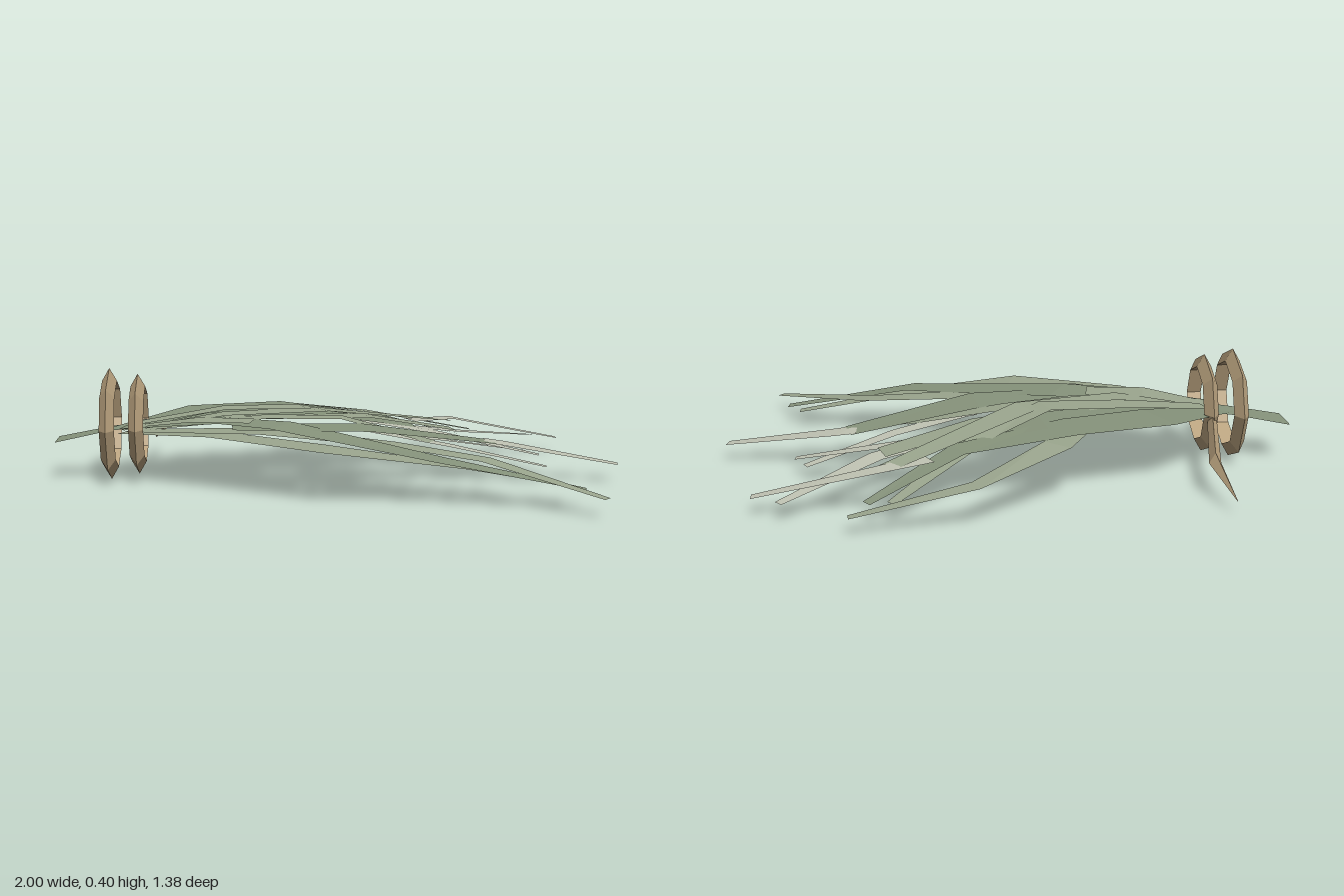
import * as THREE from 'three';

const mat = (color) => new THREE.MeshStandardMaterial({ color, flatShading: true, side: THREE.DoubleSide });
const DARK = mat(0x88957d), LIGHT = mat(0x9ca78f), PALE = mat(0xc2c5b5), TIE = mat(0xbaa37f);

function add(group, name, geometry, material) {
  const mesh = new THREE.Mesh(geometry, material);
  mesh.name = name;
  group.add(mesh);
  return mesh;
}

// Joins equal-sized rows of points into a skin; closed wraps each row round.
function skin(rows, closed) {
  const n = rows[0].length, index = [];
  for (let i = 0; i < rows.length - 1; i++) {
    for (let j = 0; j < (closed ? n : n - 1); j++) {
      const a = i * n + j, b = i * n + (j + 1) % n;
      index.push(a, b, a + n, b, b + n, a + n);
    }
  }
  const g = new THREE.BufferGeometry();
  g.setAttribute('position', new THREE.Float32BufferAttribute(rows.flat(2), 3));
  g.setIndex(index);
  g.computeVertexNormals();
  return g;
}

// Flat ribbon along [x, y, z, width] points, level across its width.
function ribbon(points) {
  const rows = points.map(([x, y, z, w], i) => {
    const a = points[Math.max(i - 1, 0)], b = points[Math.min(i + 1, points.length - 1)];
    const dx = b[0] - a[0], dz = b[2] - a[2], s = w / 2 / Math.hypot(dx, dz);
    return [[x + dz * s, y, z - dx * s], [x - dz * s, y, z + dx * s]];
  });
  return skin(rows, false);
}

export function createModel() {
  const model = new THREE.Group();
  model.name = 'leafBundle';

  // Cut stem behind the ties, drooping towards its end
  add(model, 'stem', ribbon([[-1, 0.14, -0.08, 0.135], [-0.8, 0.18, -0.08, 0.11], [-0.66, 0.195, -0.06, 0.12]]), DARK);

  // Broad dark leaves
  const dark = [
    [[-0.78, 0.18, -0.06, 0.09], [-0.5, 0.22, -0.25, 0.2], [-0.18, 0.222, -0.33, 0.18], [0.2, 0.17, -0.37, 0.11], [0.51, 0.065, -0.56, 0.04]],
    [[-0.76, 0.19, -0.04, 0.09], [-0.4, 0.222, 0.04, 0.14], [-0.2, 0.217, 0.12, 0.17], [0.32, 0.15, 0.44, 0.1], [0.785, 0.065, 0.525, 0.045]],
    [[-0.37, 0.21, 0.1, 0.14], [0.1, 0.2, 0.08, 0.18], [0.56, 0.13, -0.01, 0.1]],
    [[-0.72, 0.18, -0.08, 0.12], [-0.45, 0.215, -0.16, 0.2], [-0.1, 0.215, -0.23, 0.18], [0.3, 0.15, -0.27, 0.1]],
  ];
  // Slimmer light leaves
  const light = [
    [[-0.3, 0.215, -0.15, 0.1], [-0.12, 0.205, -0.46, 0.11], [0.165, 0.145, -0.65, 0.07], [0.57, 0.065, -0.675, 0.035]],
    [[-0.7, 0.2, -0.08, 0.07], [-0.4, 0.24, -0.15, 0.1], [-0.12, 0.243, -0.15, 0.11], [0.1, 0.19, -0.28, 0.09], [0.43, 0.065, -0.57, 0.04]],
    [[-0.68, 0.19, -0.03, 0.06], [-0.4, 0.235, -0.04, 0.09], [-0.05, 0.235, -0.13, 0.12], [0.45, 0.14, -0.45, 0.07]],
    [[-0.4, 0.22, -0.05, 0.1], [0.12, 0.2, -0.19, 0.11], [0.45, 0.135, -0.27, 0.1]],
    [[-0.72, 0.18, -0.03, 0.06], [-0.25, 0.225, -0.03, 0.1], [0.02, 0.215, -0.06, 0.08], [0.34, 0.14, 0.04, 0.07]],
    [[-0.76, 0.175, -0.01, 0.06], [-0.42, 0.195, 0.17, 0.12], [-0.06, 0.18, 0.38, 0.14], [0.4, 0.125, 0.43, 0.08], [0.74, 0.065, 0.455, 0.04]],
    [[-0.74, 0.18, -0.02, 0.06], [-0.26, 0.205, 0.16, 0.15], [0.18, 0.17, 0.25, 0.1], [0.48, 0.135, 0.36, 0.08], [0.82, 0.065, 0.675, 0.035]],
    [[-0.74, 0.19, -0.04, 0.06], [-0.5, 0.225, 0.03, 0.12], [-0.3, 0.225, 0.07, 0.1]],
  ];
  // Pale dry tips
  const pale = [
    [[0.3, 0.15, -0.39, 0.09], [0.47, 0.145, -0.47, 0.07], [0.88, 0.065, -0.46, 0.04]],
    [[0.3, 0.15, -0.23, 0.09], [0.47, 0.125, -0.28, 0.08], [0.79, 0.065, -0.53, 0.035]],
    [[0.1, 0.18, -0.22, 0.08], [0.36, 0.14, -0.19, 0.07], [0.745, 0.065, -0.095, 0.035]],
    [[0.1, 0.18, 0.02, 0.07], [0.4, 0.13, -0.05, 0.06], [0.71, 0.065, -0.18, 0.035]],
    [[0.1, 0.18, 0.0, 0.07], [0.4, 0.13, 0.06, 0.06], [0.73, 0.065, 0.13, 0.03]],
    [[0.53, 0.135, -0.01, 0.1], [0.6, 0.125, -0.005, 0.09], [0.99, 0.065, 0.095, 0.045]],
  ];
  for (const p of dark) add(model, 'broadLeaf', ribbon(p), DARK);
  for (const p of light) add(model, 'slimLeaf', ribbon(p), LIGHT);
  for (const p of pale) add(model, 'paleTip', ribbon(p), PALE);

  // Two eight-sided ties with a three-sided section
  for (const [x, z, r] of [[-0.805, -0.05, 0.17], [-0.705, -0.042, 0.15]]) {
    const ring = add(model, 'tieRing', new THREE.TorusGeometry(r, 0.03, 3, 8), TIE);
    ring.rotation.y = Math.PI / 2;
    ring.position.set(x, 0.2, z);
  }

  // Loose end of the tie, three-sided with its ridge up, tapering to a point
  const rows = [[-0.705, 0.185, -0.19, 0.02], [-0.656, 0.125, -0.44, 0.024], [-0.685, 0.05, -0.635, 0.001]]
    .map(([x, y, z, r]) => [0, 1, 2].map((k) => {
      const a = Math.PI / 2 + k * Math.PI * 2 / 3;
      return [x + r * Math.cos(a), y + r * Math.sin(a), z];
    }));
  add(model, 'tieEnd', skin(rows, true), TIE);

  return model;
}
